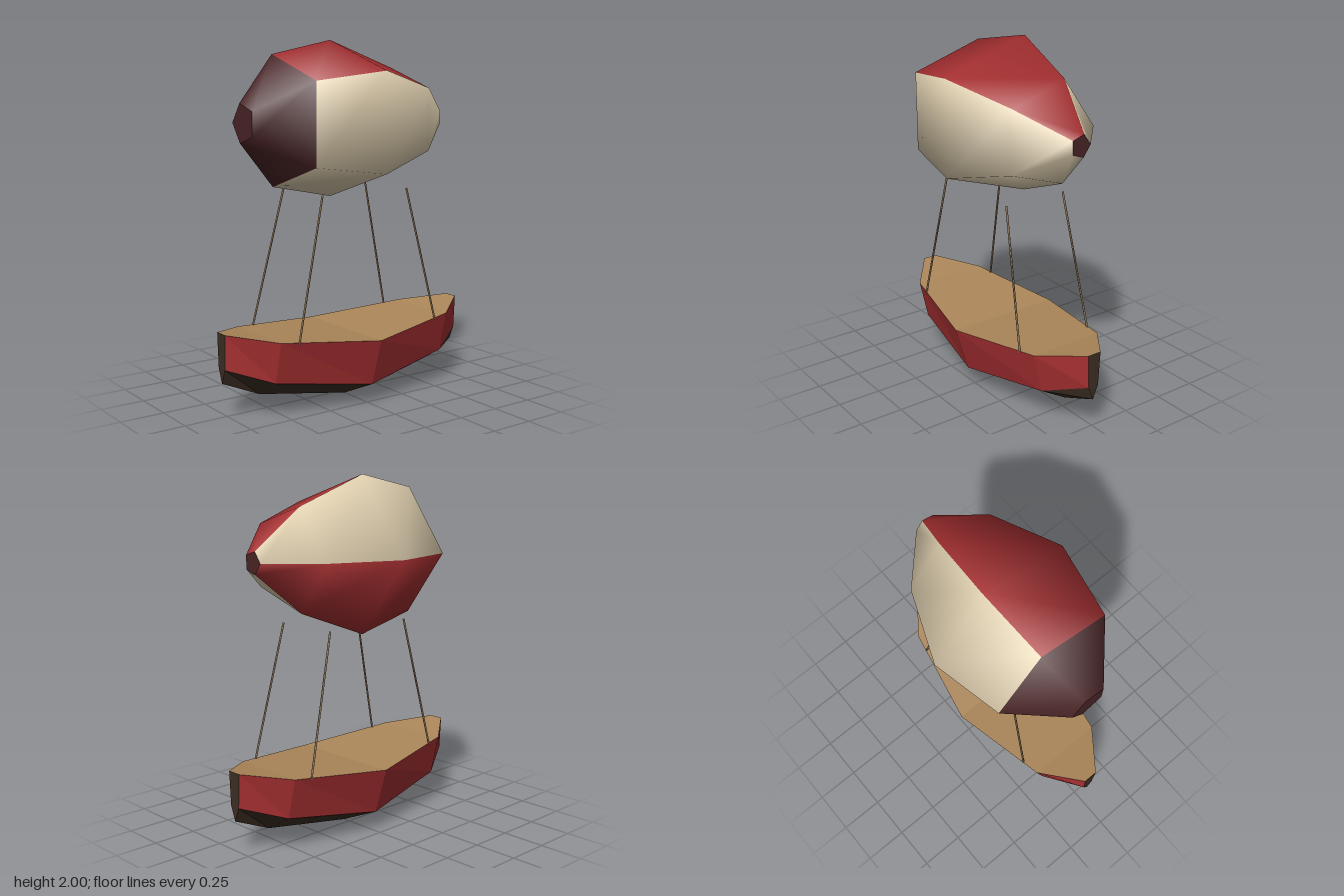
import * as THREE from 'three';

const paint = (name, color, extra = {}) => {
  const m = new THREE.MeshStandardMaterial({ color, ...extra });
  m.name = name;
  return m;
};

export function createModel() {
  const red = paint('red', 0xa83032);
  const cream = paint('cream', 0xe0d0b0);
  const maroon = paint('dark maroon', 0x4a2426);
  const wood = paint('dark wood', 0x3d2f23);
  const deckTan = paint('deck tan', 0xac875a);
  const ropeBrown = paint('rope brown', 0x8b7355);

  const model = new THREE.Group();
  model.name = 'airship';
  const body = new THREE.Group();
  body.name = 'body';
  body.position.x = 0.04;
  model.add(body);

  const add = (name, geometry, material, parent = body) => {
    const mesh = new THREE.Mesh(geometry, material);
    mesh.name = name;
    parent.add(mesh);
    return mesh;
  };

  // Envelope: five-sided smooth lathe lying along z, striped by side
  const profile = [[0.063, -0.65], [0.297, -0.4], [0.46, 0], [0.375, 0.4], [0.11, 0.65]]
    .map(([r, z]) => new THREE.Vector2(r, z));
  const envelope = new THREE.LatheGeometry(profile, 5, -Math.PI / 2);
  envelope.rotateX(Math.PI / 2);
  const sideColours = [0, 1, 1, 0, 1]; // 0 red, 1 cream
  const perSide = (profile.length - 1) * 6;
  sideColours.forEach((colour, i) => {
    envelope.addGroup(i * perSide, perSide - 6, colour);
    envelope.addGroup((i + 1) * perSide - 6, 6, 2); // nose band
  });
  const balloon = add('envelope', envelope, [red, cream, maroon]);
  balloon.position.y = 1.56;

  // Flat end caps
  add('noseCap', new THREE.CircleGeometry(0.11, 5, Math.PI), maroon, balloon).position.z = 0.65;
  const tailCap = add('tailCap', new THREE.CircleGeometry(0.063, 5), maroon, balloon);
  tailCap.rotation.y = Math.PI;
  tailCap.position.z = -0.65;

  // Gondola cross-sections: z, rim half width, rim y, chine y, keel y
  const sections = [
    [-0.8, 0.042, 0.47, 0.28, 0.2],
    [-0.57, 0.22, 0.43, 0.2, 0.1],
    [0, 0.336, 0.38, 0.115, 0],
    [0.57, 0.22, 0.43, 0.2, 0.1],
    [0.8, 0.042, 0.47, 0.28, 0.2],
  ].map(([z, w, rim, chine, keel]) =>
    [[-w, rim, z], [-w * 0.76, chine, z], [0, keel, z], [w * 0.76, chine, z], [w, rim, z]]);

  // Flat-shaded faces from convex corner loops
  const faces = (loops) => {
    const p = [];
    for (const l of loops)
      for (let i = 1; i < l.length - 1; i++) p.push(...l[0], ...l[i], ...l[i + 1]);
    const g = new THREE.BufferGeometry();
    g.setAttribute('position', new THREE.Float32BufferAttribute(p, 3));
    g.computeVertexNormals();
    return g;
  };
  // One lengthwise strip of the gondola, between section corners k and k + 1
  const strip = (k) => {
    const n = (k + 1) % 5;
    return sections.slice(0, -1).map((s, i) => [s[k], s[n], sections[i + 1][n], sections[i + 1][k]]);
  };

  const gondola = new THREE.Group();
  gondola.name = 'gondola';
  body.add(gondola);
  add('hullSides', faces([...strip(0), ...strip(3)]), red, gondola);
  add('hullBottom', faces([...strip(1), ...strip(2)]), wood, gondola);
  add('deck', faces(strip(4)), deckTan, gondola);
  add('bowAndStern', faces([sections[4], [...sections[0]].reverse()]), wood, gondola);

  // Four slanted ropes
  for (const sx of [-1, 1]) {
    for (const sz of [-1, 1]) {
      const top = new THREE.Vector3(sx * 0.19, 1.18, sz * 0.285);
      const bottom = new THREE.Vector3(sx * 0.236, 0.41, sz * 0.468);
      const dir = top.clone().sub(bottom);
      const rope = add('rope', new THREE.CylinderGeometry(0.006, 0.006, dir.length(), 5), ropeBrown);
      rope.position.copy(top).add(bottom).multiplyScalar(0.5);
      rope.quaternion.setFromUnitVectors(new THREE.Vector3(0, 1, 0), dir.normalize());
    }
  }
  return model;
}
